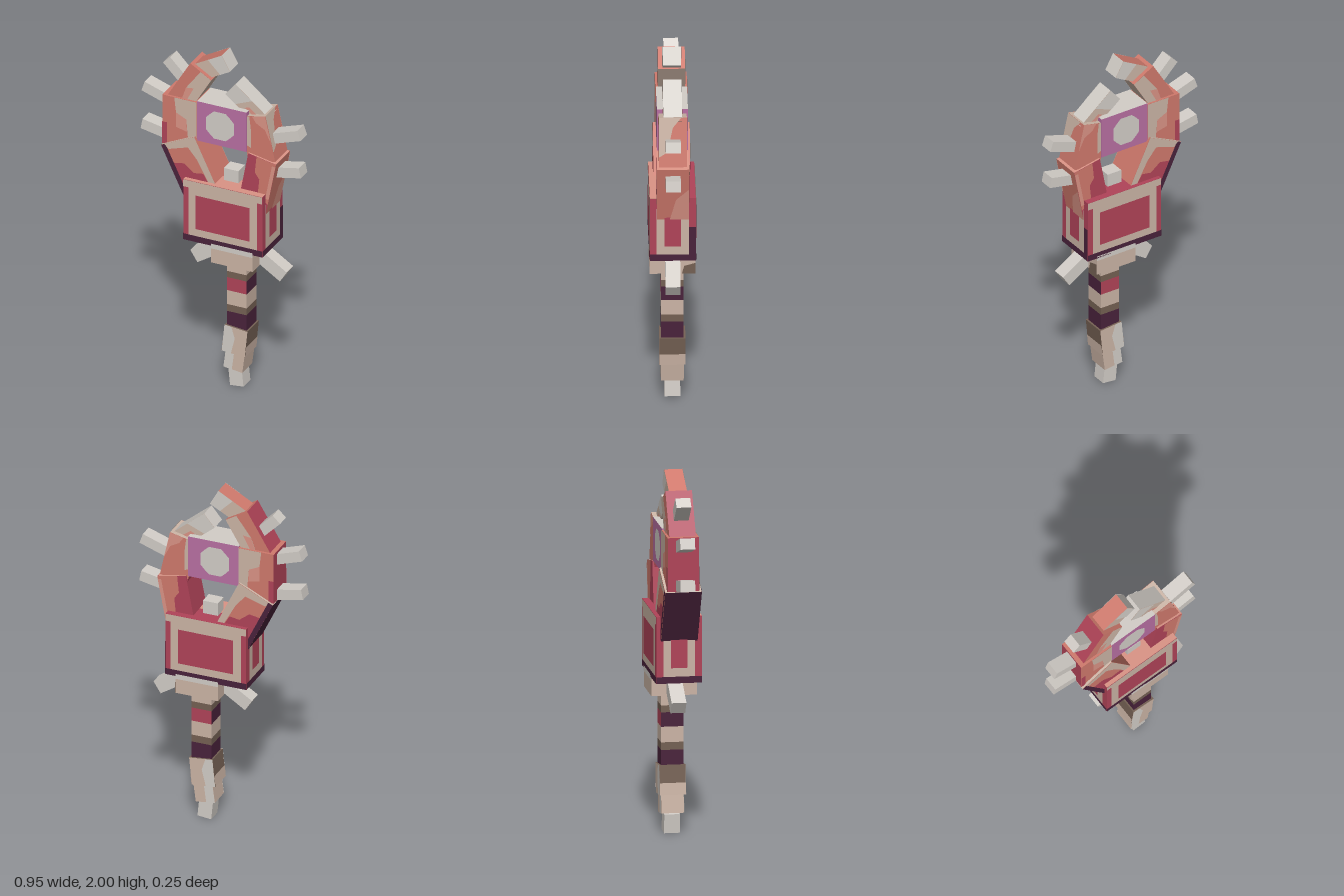
import * as THREE from 'three';

const mat = (name, color) => {
  const m = new THREE.MeshStandardMaterial({ color, side: THREE.DoubleSide });
  m.name = name;
  return m;
};

export function createModel() {
  const model = new THREE.Group();
  const light = mat('bone', 0xd2cdc7);
  const beige = mat('beige', 0xcbb4a5);
  const pale = mat('paleSalmon', 0xda9385);
  const salmon = mat('salmon', 0xcf796c);
  const red = mat('red', 0xb04358);
  const dark = mat('darkPlum', 0x49223b);
  const brown = mat('brown', 0x746053);
  const purple = mat('purple', 0xb86fa2);

  // box with optional per-face materials, turned about z
  function box(name, m, [x, y], [w, h, d], rot = 0) {
    const mesh = new THREE.Mesh(new THREE.BoxGeometry(w, h, d), m);
    mesh.name = name;
    mesh.position.set(x, y, 0);
    mesh.rotation.z = rot;
    mesh.userData.size = [w, h, d];
    model.add(mesh);
    return mesh;
  }

  // flat painted patch; points run from -0.5 to 0.5 over the face
  function patch(part, face, m, pts, layer = 1) {
    const [w, h, d] = part.userData.size;
    const across = face === 'front' || face === 'back' ? w : d;
    const flip = face === 'back' ? -1 : 1;
    const shape = new THREE.Shape(pts.map(([u, v]) => new THREE.Vector2(u * across * flip, v * h)));
    const geo = new THREE.ShapeGeometry(shape);
    geo.translate(0, 0, (across === w && (face === 'front' || face === 'back') ? d : w) / 2 + 0.002 * layer);
    geo.rotateY({ front: 0, back: Math.PI, left: Math.PI / 2, right: -Math.PI / 2 }[face]);
    const mesh = new THREE.Mesh(geo, m);
    mesh.name = part.name + 'Paint';
    part.add(mesh);
  }
  const both = (part, m, pts, layer) => ['front', 'back'].forEach((f) => patch(part, f, m, pts, layer));
  const rect = (u0, v0, u1, v1) => [[u0, v0], [u1, v0], [u1, v1], [u0, v1]];

  // face order: +x, -x, top, bottom, front, back
  // body with framed panels
  const body = box('body', [red, red, red, dark, red, red], [0.049, 1.055], [0.468, 0.365, 0.246]);
  both(body, beige, rect(-0.5, 0.385, 0.5, 0.5));
  both(body, beige, rect(-0.435, -0.4, 0.435, 0.39));
  both(body, red, rect(-0.34, -0.28, 0.34, 0.28), 2);
  both(body, dark, rect(-0.5, -0.5, 0.5, -0.4));
  for (const f of ['left', 'right']) {
    patch(body, f, beige, rect(-0.35, -0.4, 0.35, 0.33));
    patch(body, f, red, rect(-0.18, -0.27, 0.18, 0.22), 2);
    patch(body, f, dark, rect(-0.5, -0.5, 0.5, -0.4));
  }
  patch(body, 'left', dark, rect(0.35, -0.4, 0.5, 0.04));
  const lip = new THREE.Mesh(new THREE.BoxGeometry(0.468, 0.004, 0.123), pale);
  lip.name = 'bodyTopPaint';
  lip.position.set(0, 0.1825, 0.0615);
  body.add(lip);
  box('topNub', light, [0.058, 1.27], [0.087, 0.085, 0.08]);

  // guard and its two drooping prongs
  const guard = box('guard', [beige, beige, beige, brown, beige, beige], [0.102, 0.827], [0.246, 0.115, 0.246]);
  both(guard, light, rect(-0.5, 0.25, 0.5, 0.5));
  patch(guard, 'left', brown, [[0.2, -0.5], [0.5, -0.5], [0.5, 0.05], [0.25, -0.1]]);
  for (const s of [-1, 1])
    box('guardProng', light, [0.102 + s * 0.185, 0.783], [0.19, 0.076, 0.08], -s * 0.57);

  // banded handle: top, bottom, front colour, side colour
  [
    [0.775, 0.702, beige, beige], [0.702, 0.664, brown, brown], [0.664, 0.585, red, dark],
    [0.585, 0.5, beige, beige], [0.5, 0.458, brown, brown], [0.458, 0.36, dark, dark],
  ].forEach(([t, b, m, s]) =>
    box('handleBand', [s, s, m, m, m, m], [0.1005, (t + b) / 2], [0.117, t - b, 0.12]));

  // stepped pommel
  const pommel = box('pommelTop', [brown, brown, brown, beige, beige, beige], [0.093, 0.29], [0.136, 0.162, 0.14], -0.1);
  for (const f of ['left', 'right']) patch(pommel, f, beige, rect(-0.5, -0.5, 0.5, -0.1));
  both(pommel, light, [[-0.5, -0.5], [-0.1, -0.5], [0, 0.1], [-0.2, 0.5], [-0.5, 0.5]]);
  const step = box('pommelMiddle', beige, [0.085, 0.16], [0.112, 0.105, 0.122], -0.13);
  both(step, light, rect(-0.5, -0.5, -0.05, 0.5));
  box('pommelTip', light, [0.087, 0.056], [0.08, 0.105, 0.085], 0.1);

  // tall arm on the right side
  const a = box('tallArmLower', [salmon, dark, beige, dark, salmon, salmon], [-0.159, 1.3], [0.218, 0.33, 0.196], 0.449);
  both(a, beige, [[-0.4, 0.5], [0.5, 0.5], [0.5, -0.5], [0.35, -0.5], [0.3, 0.1], [0.2, 0.35], [-0.35, 0.4]]);
  both(a, red, [[-0.37, 0.15], [-0.1, 0.1], [0.05, -0.1], [0.3, -0.15], [0.35, -0.5], [-0.37, -0.5]]);
  both(a, dark, rect(-0.5, -0.5, -0.37, 0.5));

  const b = box('tallArmMiddle', [salmon, red, salmon, salmon, salmon, salmon], [-0.226, 1.553], [0.204, 0.295, 0.17]);
  both(b, beige, [[-0.15, 0.5], [0.5, 0.5], [0.5, -0.4], [0.25, -0.3], [0.2, 0.1], [-0.1, 0.2]]);
  both(b, pale, [[-0.1, 0.2], [0.2, 0.1], [0.22, -0.15], [-0.1, -0.1]]);
  both(b, red, rect(-0.5, -0.5, -0.36, -0.05));

  const c = box('tallArmUpper', [beige, red, salmon, salmon, salmon, salmon], [-0.18, 1.763], [0.145, 0.285, 0.144], -0.54);
  both(c, beige, [[0, 0.5], [0.5, 0.5], [0.5, -0.5], [0.1, -0.5], [-0.1, 0]]);
  both(c, pale, [[-0.1, 0], [0.15, 0.1], [0.2, -0.3], [0.05, -0.35]], 2);

  const d = box('tallArmTip', [light, beige, salmon, light, beige, beige], [-0.051, 1.911], [0.19, 0.1, 0.098], 0.51);
  both(d, light, [[0, 0.5], [0.5, 0.5], [0.5, -0.5], [0.15, -0.5]]);

  // short arm on the left side
  const e = box('shortArmLower', [salmon, red, pale, red, red, red], [0.233, 1.29], [0.168, 0.325, 0.17], -0.19);
  both(e, salmon, [[-0.2, 0.5], [0.5, 0.5], [0.5, -0.3], [0.1, -0.2], [0.05, 0.1], [-0.15, 0.2]]);
  both(e, pale, rect(0.38, -0.2, 0.5, 0.45), 2);
  patch(e, 'left', pale, [[-0.1, -0.5], [0.5, -0.5], [0.5, 0.1], [0.1, -0.1]]);

  const f = box('shortArmMiddle', [salmon, red, beige, salmon, salmon, salmon], [0.228, 1.558], [0.16, 0.27, 0.15], 0.22);
  both(f, beige, [[-0.5, 0.5], [-0.1, 0.5], [-0.15, 0.2], [-0.3, -0.2], [-0.5, -0.1]]);
  both(f, pale, [[0, 0.5], [0.5, 0.5], [0.5, -0.1], [0.38, 0.2], [0.1, 0.35]]);
  both(f, red, [[-0.5, -0.35], [-0.2, -0.5], [-0.5, -0.5]]);
  patch(f, 'left', beige, [[-0.5, -0.3], [-0.2, -0.2], [0, 0.3], [0.3, 0.5], [-0.5, 0.5]]);

  const g = box('shortArmTip', [beige, light, light, beige, beige, beige], [0.156, 1.73], [0.25, 0.095, 0.1], -0.69);
  both(g, light, [[-0.5, -0.5], [-0.2, -0.5], [0, 0.5], [-0.5, 0.5]]);
  both(g, pale, [[0, -0.2], [0.4, -0.1], [0.4, 0.1], [0.05, 0.05]]);

  // spikes on the outer edges of the arms
  [
    [-0.265, 1.83, 0.17, -0.79], [-0.365, 1.664, 0.21, -0.32], [-0.37, 1.446, 0.21, -0.19],
    [0.36, 1.58, 0.21, 0.33], [0.362, 1.367, 0.21, 0.2],
  ].forEach(([x, y, len, rot]) => box('armSpike', light, [x, y], [len, 0.06, 0.08], rot));

  // central plaque with a round spot
  const plaque = box('plaque', [purple, purple, light, purple, purple, purple], [0.0225, 1.588], [0.293, 0.24, 0.166]);
  const spot = [];
  for (const [sx, sy] of [[1, 1], [-1, 1], [-1, -1], [1, -1]]) {
    const corner = [[0.083, 0.035], [0.06, 0.06], [0.035, 0.083]].map(([x, y]) => [(x * sx - 0.01) / 0.293, (y * sy) / 0.24]);
    spot.push(...(sx * sy > 0 ? corner : corner.reverse()));
  }
  both(plaque, light, spot);

  return model;
}
